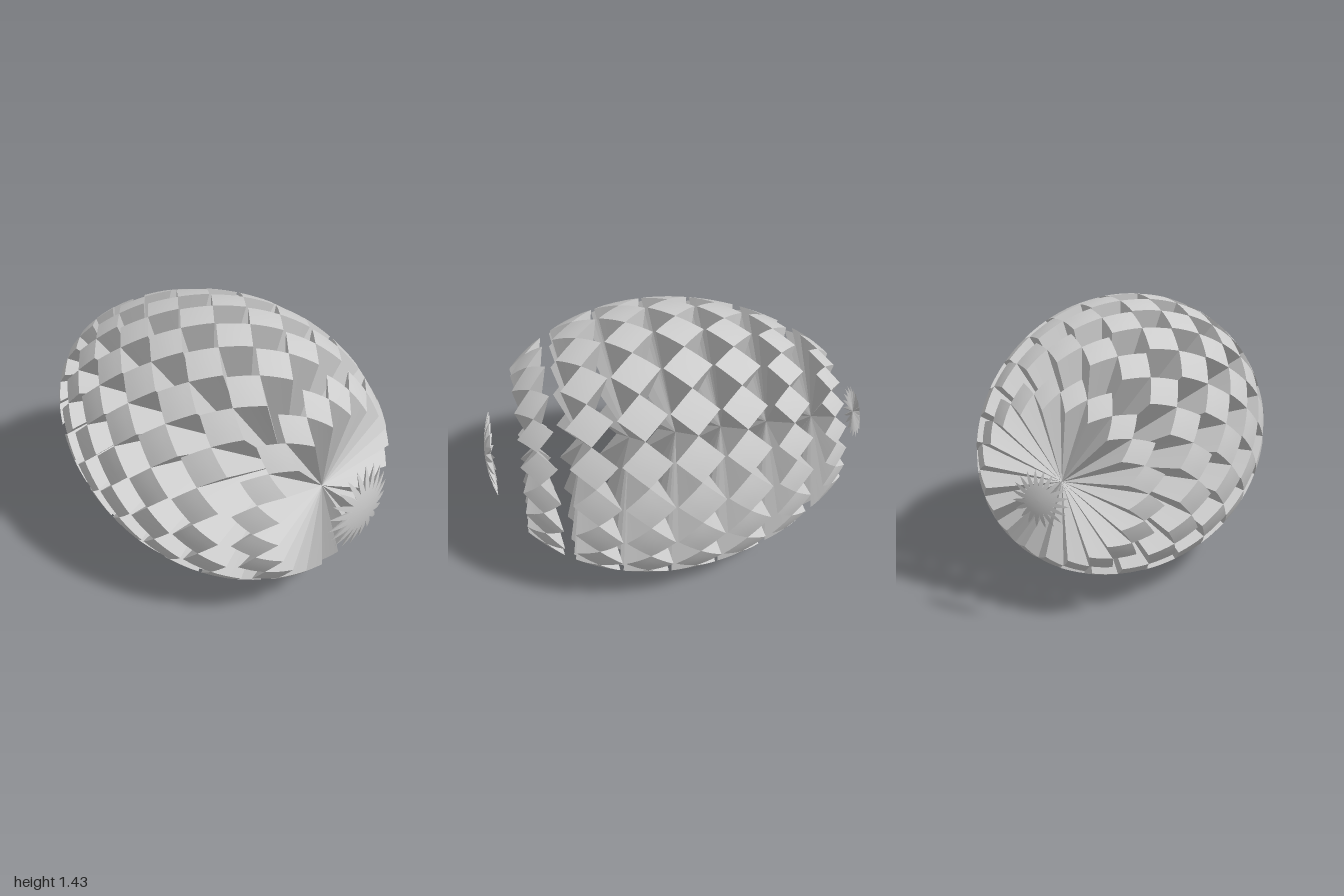
import * as THREE from 'three';
import { mergeGeometries, toCreasedNormals } from 'three/addons/utils/BufferGeometryUtils.js';

const COUNT = 20;             // wedges around the long axis
const HALF = Math.PI / COUNT; // half the angle of one wedge
const N = 4;                  // subdivisions of each curved diamond face

// Point on the egg: polar angle from the +x end, turn around the x axis
function eggPoint(phi, turn) {
  const x = Math.cos(phi);
  const r = Math.sin(phi) * (0.715 + 0.07 * x - 0.03 * x * x);
  return new THREE.Vector3(x, r * Math.sin(turn), r * Math.cos(turn));
}

// One wedge: a curved diamond on the egg whose sides run in to a point on the axis.
// xs = [x of the low corner, x of the side corners, x of the high corner];
// pole = +1 / -1 when that corner sits on the end of the egg, else 0.
function wedgeGeometry(xs, apexX, pole) {
  const [p0, pm, p1] = xs.map(Math.acos);
  const at = (i, j) => {
    const s = (i - j) / N, t = (i + j) / N - 1;
    const phi = s < 0 ? pm + (p0 - pm) * -s : pm + (p1 - pm) * s;
    const k = s * pole; // towards the pole the face keeps its full angular width
    const a = k > 0 ? (k > 0.999 ? 0 : t / (1 - k)) : t;
    return eggPoint(phi, HALF * (1 + a));
  };
  const apex = new THREE.Vector3(apexX, 0, 0);
  const pts = [];
  // outer diamond
  for (let i = 0; i < N; i++) {
    for (let j = 0; j < N; j++) {
      const a = at(i, j), b = at(i + 1, j), c = at(i + 1, j + 1), d = at(i, j + 1);
      pts.push(a, b, c, a, c, d);
    }
  }
  // four sides down to the axis
  for (let i = 0; i < N; i++) {
    pts.push(at(i + 1, 0), at(i, 0), apex);
    pts.push(at(N, i + 1), at(N, i), apex);
    pts.push(at(N - i - 1, N), at(N - i, N), apex);
    pts.push(at(0, N - i - 1), at(0, N - i), apex);
  }
  return new THREE.BufferGeometry().setFromPoints(pts);
}

export function createModel() {
  const model = new THREE.Group();
  model.name = 'facetedEgg';
  const material = new THREE.MeshStandardMaterial({ color: 0xcccccc });

  // Repeat a wedge all around the axis
  const addRing = (name, xs, apexX, pole = 0) => {
    const wedge = wedgeGeometry(xs, apexX, pole);
    wedge.computeVertexNormals();
    const shaded = toCreasedNormals(wedge, 0.5);
    const copies = [];
    for (let i = 0; i < COUNT; i++) copies.push(shaded.clone().rotateX(i * 2 * HALF));
    const ring = new THREE.Mesh(mergeGeometries(copies), material);
    ring.name = name;
    ring.position.y = 0.718;
    model.add(ring);
  };

  // Rings of wedges from the narrow end to the wide end
  const spans = [
    [-0.82, -0.67], [-0.594, -0.396], [-0.36, -0.13], [-0.118, 0.118],
    [0.13, 0.364], [0.38, 0.6], [0.653, 0.825],
  ];
  spans.forEach(([x0, x1], i) => {
    const mid = (x0 + x1) / 2;
    addRing('wedgeRing' + (i + 1), [x0, mid, x1], mid);
  });

  // Star-shaped caps at both ends
  addRing('wideEndStar', [0.956, 0.991, 1], 0.97, 1);
  addRing('narrowEndStar', [-1, -0.994, -0.974], -0.982, -1);

  return model;
}
